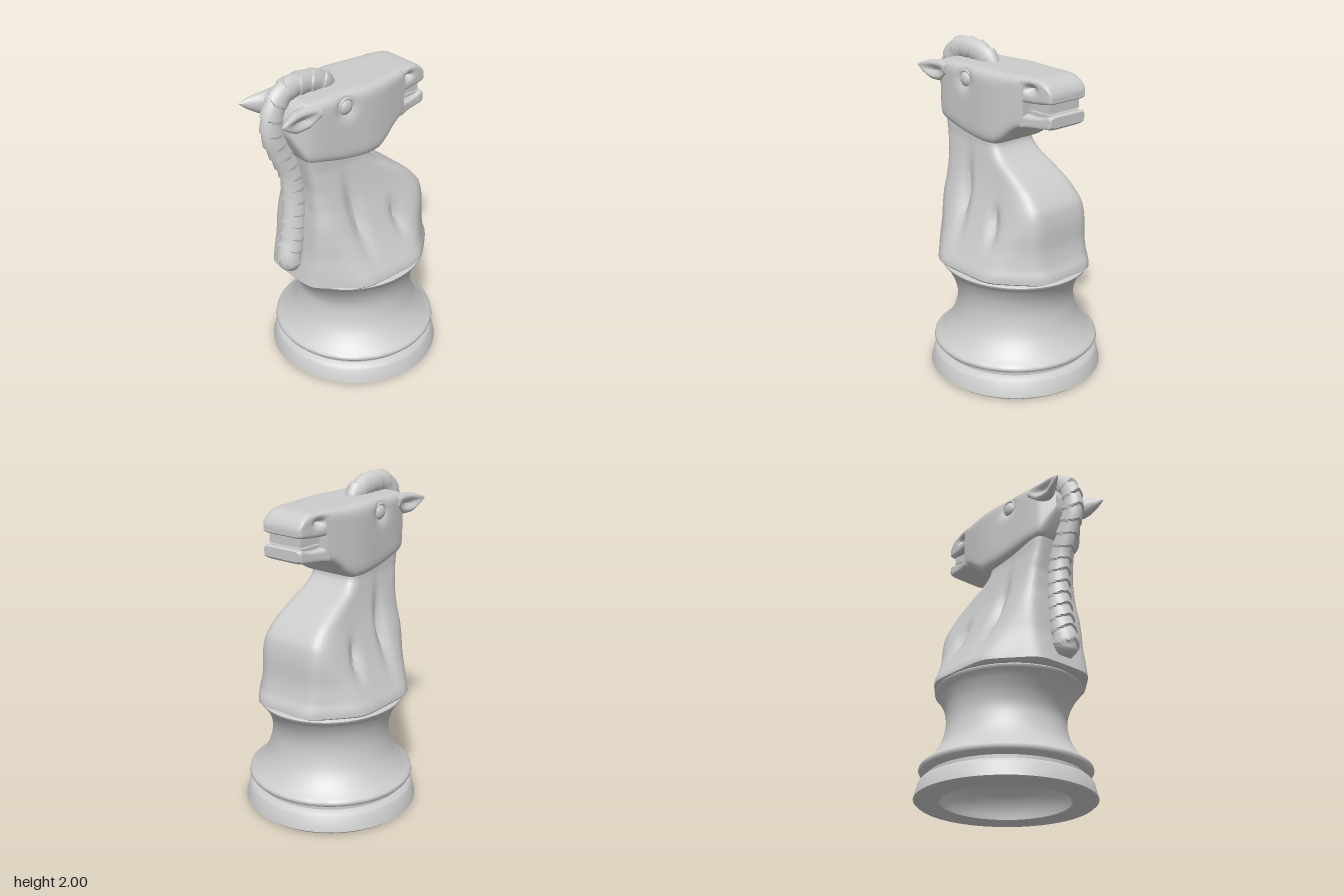
import * as THREE from 'three';
import { toCreasedNormals } from 'three/addons/utils/BufferGeometryUtils.js';

const material = new THREE.MeshStandardMaterial({ color: 0xcccccc });

// Smooth, non-overshooting interpolation of table rows keyed by their first column
function sample(table, t) {
  const last = table.length - 1;
  let i = 0;
  while (i < last - 1 && t > table[i + 1][0]) i++;
  const secant = (k, c) => (table[k + 1][c] - table[k][c]) / (table[k + 1][0] - table[k][0]);
  const slope = (k, c) => {
    if (k === 0) return secant(0, c);
    if (k === last) return secant(last - 1, c);
    const a = secant(k - 1, c), b = secant(k, c);
    return a * b <= 0 ? 0 : (2 * a * b) / (a + b);
  };
  const h = table[i + 1][0] - table[i][0];
  const s = (t - table[i][0]) / h, s2 = s * s, s3 = s2 * s;
  return table[i].map((v, c) => c === 0 ? t :
    (2 * s3 - 3 * s2 + 1) * v + (s3 - 2 * s2 + s) * h * slope(i, c) +
    (3 * s2 - 2 * s3) * table[i + 1][c] + (s3 - s2) * h * slope(i + 1, c));
}

// Unit square with chamfered, softened corners; k = 2 is square, lower cuts more
function chamfered(angle, k) {
  const c = Math.cos(angle), s = Math.sin(angle), p = 22;
  const a = Math.abs(c), b = Math.abs(s);
  const r = (a ** p + b ** p + ((a + b) / k) ** p) ** (-1 / p);
  return [c * r, s * r];
}

// Closed skin through rings; point(t, angle) runs counter-clockwise round the travel
function loft(rows, cols, point, crease = 0.7) {
  const pos = [], index = [];
  for (let i = 0; i <= rows; i++) {
    for (let j = 0; j < cols; j++) pos.push(...point(i / rows, (j / cols) * Math.PI * 2));
  }
  for (let i = 0; i < rows; i++) {
    for (let j = 0; j < cols; j++) {
      const a = i * cols + j, b = i * cols + ((j + 1) % cols);
      index.push(a, b, a + cols, b, b + cols, a + cols);
    }
  }
  for (const start of [0, rows * cols]) {
    const mid = [0, 0, 0], centre = pos.length / 3;
    for (let j = 0; j < cols; j++) for (let c = 0; c < 3; c++) mid[c] += pos[(start + j) * 3 + c] / cols;
    pos.push(...mid);
    for (let j = 0; j < cols; j++) {
      const a = start + j, b = start + ((j + 1) % cols);
      index.push(...(start === 0 ? [centre, b, a] : [centre, a, b]));
    }
  }
  const geo = new THREE.BufferGeometry();
  geo.setAttribute('position', new THREE.Float32BufferAttribute(pos, 3));
  geo.setIndex(index);
  return toCreasedNormals(geo, crease);
}

// Loft along x from rows of [x, low y, high y, half width]
function loftX(table, rows, cols, k, dent = () => 0) {
  const x0 = table[0][0], x1 = table[table.length - 1][0];
  return loft(rows, cols, (t, angle) => {
    const [x, lo, hi, w] = sample(table, x0 + (x1 - x0) * t);
    const [cy, cz] = chamfered(angle, k);
    const y = (lo + hi) / 2 + cy * (hi - lo) / 2;
    return [x, y, cz * (w - dent(x, y))];
  });
}

const bump = (x, y, cx, cy, rx, ry) => Math.exp(-(((x - cx) / rx) ** 2) - ((y - cy) / ry) ** 2);

export function createModel() {
  const model = new THREE.Group();
  const add = (name, geo, parent = model) => {
    const mesh = new THREE.Mesh(geo, material);
    mesh.name = name;
    parent.add(mesh);
    return mesh;
  };

  // Turned base with a domed hollow underneath; the top rim narrows towards the sides
  const waist = new THREE.SplineCurve([
    [0.507, 0.2], [0.45, 0.25], [0.39, 0.34], [0.36, 0.46], [0.378, 0.55], [0.425, 0.63], [0.462, 0.672],
  ].map(p => new THREE.Vector2(...p))).getPoints(28);
  const hollow = Array.from({ length: 13 }, (_, i) => {
    const a = (i / 12) * Math.PI / 2;
    return new THREE.Vector2(0.38 * Math.sin(a), 0.01 + 0.26 * Math.cos(a));
  });
  const foot = [[0.4, 0], [0.515, 0], [0.533, 0.015], [0.512, 0.1], [0.5, 0.115], [0.465, 0.13],
    [0.465, 0.15], [0.502, 0.17], [0.51, 0.185]];
  const rim = [[0.465, 0.682], [0.455, 0.69], [0.43, 0.692], [0.43, 0.702], [0, 0.702]];
  const points = list => list.map(p => new THREE.Vector2(...p));
  const baseGeo = new THREE.LatheGeometry([...hollow, ...points(foot), ...waist, ...points(rim)], 72);
  const bp = baseGeo.attributes.position;
  for (let i = 0; i < bp.count; i++) {
    const f = THREE.MathUtils.smoothstep(bp.getY(i), 0.45, 0.68);
    bp.setX(i, bp.getX(i) + 0.07 - 0.015 * f);
    bp.setZ(i, bp.getZ(i) * (1 - 0.085 * f));
  }
  add('base', toCreasedNormals(baseGeo, 0.8));

  // Chest and neck: [y, back x, front x, half width, corner chamfer]
  const body = [
    [0.694, -0.42, 0.495, 0.4, 1.46], [0.705, -0.44, 0.518, 0.41, 1.46], [0.73, -0.435, 0.515, 0.405, 1.47],
    [0.8, -0.42, 0.487, 0.37, 1.53], [0.9, -0.4, 0.468, 0.322, 1.62], [1, -0.39, 0.464, 0.281, 1.72],
    [1.1, -0.38, 0.447, 0.246, 1.8], [1.2, -0.37, 0.375, 0.215, 1.83], [1.3, -0.37, 0.235, 0.192, 1.84],
    [1.38, -0.38, 0.105, 0.177, 1.85], [1.44, -0.39, 0.065, 0.168, 1.85], [1.56, -0.41, 0.06, 0.165, 1.85],
  ];
  add('chestAndNeck', loft(70, 112, (t, angle) => {
    const [y, back, front, w, k] = sample(body, 0.694 + 0.866 * t);
    const [cz, cx] = chamfered(angle, k);
    const x = (back + front) / 2 + cx * (front - back) / 2;
    // Slanted muscle grooves on both sides
    const dent = 0.045 * bump(x + 0.12 * (y - 1.1), y, -0.12, 1.1, 0.04, 0.19)
      + 0.04 * bump(x + 0.15 * (y - 1), y, 0.17, 1, 0.035, 0.1);
    return [x, y, cz * (w - dent)];
  }));

  // Head, with hollows for the eyes
  const head = [
    [-0.49, 1.69, 1.79, 0.1], [-0.45, 1.6, 1.85, 0.14], [-0.4, 1.52, 1.88, 0.175], [-0.3, 1.497, 1.882, 0.195],
    [-0.15, 1.465, 1.884, 0.207], [0, 1.45, 1.884, 0.215], [0.07, 1.452, 1.883, 0.211], [0.13, 1.48, 1.882, 0.203],
    [0.2, 1.54, 1.882, 0.19], [0.25, 1.573, 1.882, 0.18], [0.3, 1.592, 1.882, 0.168],
  ];
  add('head', loftX(head, 80, 96, 1.88, (x, y) => 0.035 * bump(x, y, -0.16, 1.8, 0.055, 0.055)));

  // Muzzle and lower jaw either side of the open mouth
  const muzzle = [
    [0.28, 1.735, 1.882, 0.172], [0.34, 1.735, 1.882, 0.161], [0.4, 1.738, 1.878, 0.15],
    [0.45, 1.745, 1.855, 0.144], [0.48, 1.752, 1.822, 0.139], [0.49, 1.76, 1.8, 0.13],
  ];
  add('muzzle', loftX(muzzle, 36, 64, 1.86, (x, y) => 0.04 * bump(x, y, 0.345, 1.822, 0.035, 0.02)));
  const jaw = [
    [0.28, 1.585, 1.672, 0.172], [0.36, 1.598, 1.667, 0.152], [0.42, 1.602, 1.672, 0.143],
    [0.475, 1.606, 1.688, 0.138], [0.49, 1.62, 1.678, 0.13],
  ];
  add('lowerJaw', loftX(jaw, 24, 48, 1.8));
  add('upperTeeth', new THREE.BoxGeometry(0.18, 0.055, 0.23)).position.set(0.37, 1.722, 0);
  add('lowerTeeth', new THREE.BoxGeometry(0.18, 0.03, 0.23)).position.set(0.37, 1.672, 0);

  // Eyes and hollowed, leaf-shaped ears, mirrored; ear rows are [x, y, half height, z, half depth]
  const earRows = [
    [-0.602, 1.82, 0.004, 0.194, 0.004], [-0.55, 1.81, 0.036, 0.178, 0.028], [-0.48, 1.802, 0.062, 0.158, 0.05],
    [-0.42, 1.805, 0.064, 0.15, 0.06], [-0.34, 1.825, 0.04, 0.15, 0.053],
  ];
  for (const side of [1, -1]) {
    const name = side > 0 ? 'left' : 'right';
    const eye = new THREE.Group();
    eye.name = name + 'Eye';
    add('eyeball', new THREE.SphereGeometry(0.047, 24, 16), eye).scale.z = 0.65;
    const lid = add('upperEyelid', new THREE.TorusGeometry(0.05, 0.009, 10, 24, Math.PI), eye);
    lid.position.z = side * 0.01;
    eye.position.set(-0.16, 1.8, side * 0.178);
    model.add(eye);
    add(name + 'Ear', loft(28, 32, (t, angle) => {
      const [x, y, ry, z, rz] = sample(earRows, -0.602 + 0.262 * t);
      const c = Math.cos(angle), s = Math.sin(angle) * side;
      const scoop = s > 0 ? 0.8 * rz * Math.exp(-((c / 0.5) ** 2)) * Math.sin(Math.PI * t) : 0;
      return [x, y + c * ry, side * (z + s * rz - scoop)];
    }));
  }

  // Ridged mane swept up the neck and over the crown, wider at the bottom
  const path = new THREE.CatmullRomCurve3([
    [-0.42, 0.765], [-0.44, 0.84], [-0.415, 0.95], [-0.39, 1.2], [-0.41, 1.4], [-0.47, 1.54], [-0.525, 1.68],
    [-0.52, 1.8], [-0.47, 1.89], [-0.4, 1.925], [-0.25, 1.918], [-0.17, 1.885], [-0.11, 1.845],
  ].map(([x, y]) => new THREE.Vector3(x, y, 0)));
  add('mane', loft(220, 28, (t, angle) => {
    const c = path.getPointAt(t), d = path.getTangentAt(t);
    // Locks are slanted: each ridge trails back along the sides
    const lock = t * 19 + 0.35 * Math.abs(Math.sin(angle));
    const saw = lock - Math.floor(lock);
    const ends = Math.min(1, 0.6 + t * 14, 0.65 + (1 - t) * 8);
    const low = 1 - THREE.MathUtils.smoothstep(t, 0.05, 0.6);
    const r = ends * (0.062 + 0.006 * low + 0.014 * (1 - saw));
    const w = ends * (0.062 + 0.02 * low - 0.007 * saw);
    const n = Math.cos(angle) * r;
    return [c.x - d.y * n, c.y + d.x * n, Math.sin(angle) * w];
  }, 0.9));

  return model;
}
